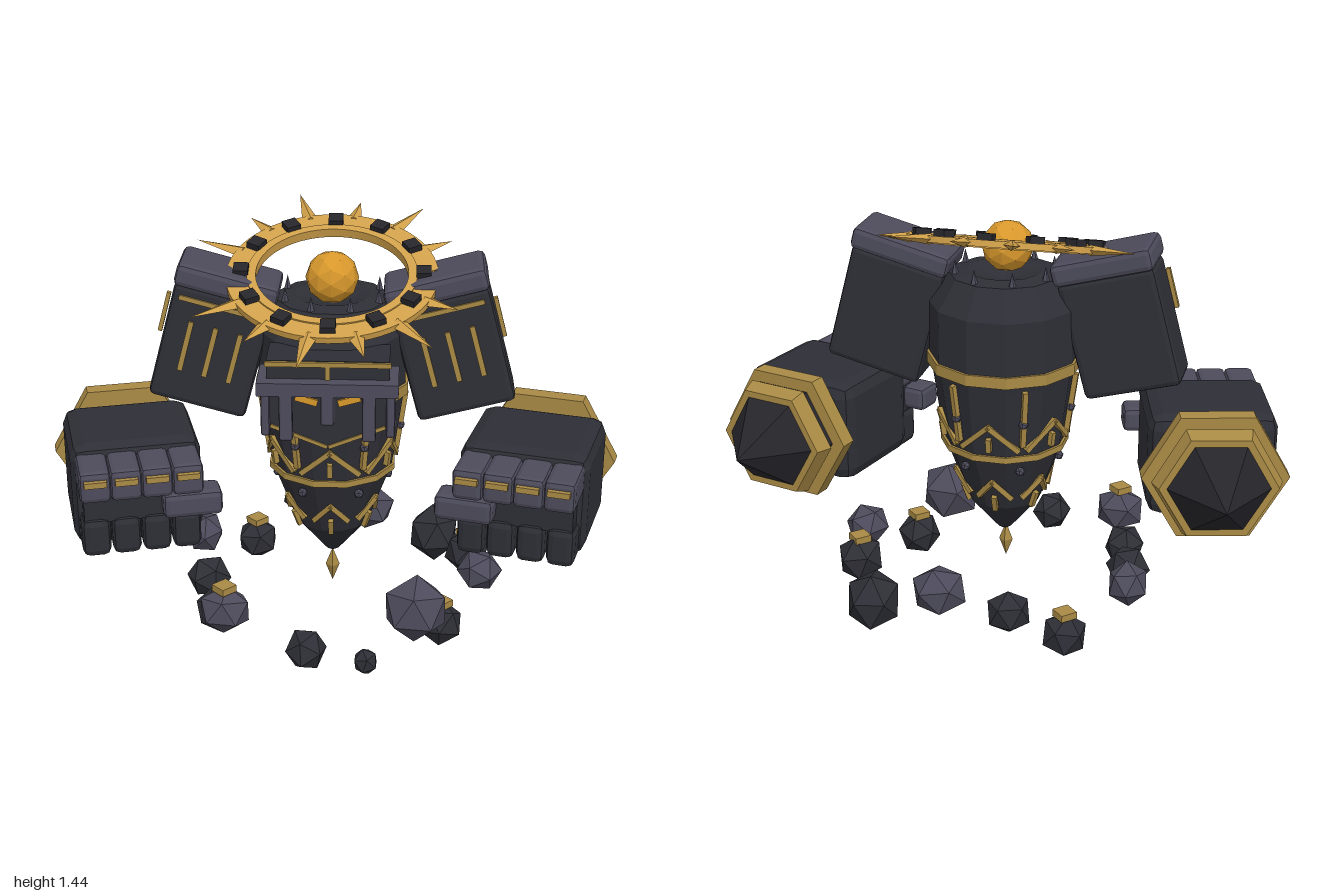
import * as THREE from 'three';
import { RoundedBoxGeometry } from 'three/addons/geometries/RoundedBoxGeometry.js';

const paint = (name, color) => Object.assign(new THREE.MeshStandardMaterial({ color }), { name });
const dark = paint('darkStone', 0x2e2f36);
const black = paint('blackStone', 0x26252a);
const grey = paint('greyStone', 0x4d4b5b);
const trim = paint('oldGold', 0xa98a45);
const gold = paint('haloGold', 0xd0a04a);
const amber = paint('amber', 0xd8982c);

// Faceted mesh helper
function add(parent, name, geo, mat, pos = [0, 0, 0], rot = [0, 0, 0]) {
  const g = geo.index ? geo.toNonIndexed() : geo;
  g.computeVertexNormals();
  const m = new THREE.Mesh(g, mat);
  m.name = name;
  m.position.set(...pos);
  m.rotation.set(...rot);
  parent.add(m);
  return m;
}
function group(parent, name, pos = [0, 0, 0], rot = [0, 0, 0]) {
  const g = new THREE.Group();
  g.name = name;
  g.position.set(...pos);
  g.rotation.set(...rot);
  parent.add(g);
  return g;
}
const box = (w, h, d) => new THREE.BoxGeometry(w, h, d);
const chamfer = (w, h, d, r) => new RoundedBoxGeometry(w, h, d, 1, r);

// Body profile: radius and height
const profile = [[0, 0.26], [0.025, 0.275], [0.13, 0.4], [0.215, 0.63], [0.25, 0.88],
  [0.26, 0.94], [0.26, 1.13], [0.19, 1.23], [0.13, 1.24], [0, 1.2]];
function radiusAt(y) {
  for (let i = 1; i < profile.length; i++) {
    const [r0, y0] = profile[i - 1], [r1, y1] = profile[i];
    if (y <= y1) return r0 + (r1 - r0) * (y - y0) / (y1 - y0);
  }
  return 0;
}
const onBody = (a, y) => {
  const r = radiusAt(y) + 0.002;
  return new THREE.Vector3(Math.sin(a) * r, y, Math.cos(a) * r);
};
// Gold bar lying on the body between two angle/height points
function inlay(parent, a0, y0, a1, y1) {
  const p = onBody(a0, y0), q = onBody(a1, y1);
  const m = add(parent, 'inlay', box(0.018, 0.018, p.distanceTo(q) + 0.01), trim);
  m.position.copy(p).add(q).multiplyScalar(0.5);
  m.lookAt(q);
}

function buildBody(root) {
  const body = group(root, 'body');
  const pts = profile.map(p => new THREE.Vector2(...p));
  add(body, 'torso', new THREE.LatheGeometry(pts, 12, Math.PI / 12), dark);
  for (const [y, h] of [[0.625, 0.022], [0.925, 0.04]]) {
    const r = radiusAt(y) + 0.012;
    add(body, 'band', new THREE.CylinderGeometry(r, r, h, 12, 1, false, Math.PI / 12), trim, [0, y, 0]);
  }
  for (let i = 0; i < 6; i++) {
    const a = i * Math.PI / 3;
    for (const s of [-1, 1]) {
      inlay(body, a, 0.75, a + s * 0.45, 0.66);
      inlay(body, a, 0.52, a + s * 0.38, 0.45);
      add(body, 'stud', new THREE.IcosahedronGeometry(0.018, 0), grey,
        onBody(a + s * 0.52, s > 0 ? 0.76 : 0.57).toArray());
    }
    inlay(body, a, 0.66, a, 0.7);
    inlay(body, a, 0.4, a, 0.45);
    inlay(body, a + Math.PI / 6, 0.68, a + Math.PI / 6, 0.88);
  }
  for (let i = 0; i < 8; i++) {
    const a = (i + 0.5) * Math.PI / 4;
    add(body, 'crownSpike', new THREE.ConeGeometry(0.037, 0.14, 5), grey,
      [Math.sin(a) * 0.17, 1.21, Math.cos(a) * 0.17]);
  }
  const drop = new THREE.OctahedronGeometry(1, 0).scale(0.025, 0.065, 0.025);
  add(body, 'tipCrystal', drop, trim, [0, 0.21, 0.015]);
}

function buildFace(root) {
  const face = group(root, 'face');
  const shape = new THREE.Shape([[-0.2, 0.9], [0, 0.82], [0.2, 0.9], [0.2, 1.13], [-0.2, 1.13]]
    .map(p => new THREE.Vector2(...p)));
  add(face, 'mask', new THREE.ExtrudeGeometry(shape, { depth: 0.16, bevelEnabled: false }), dark, [0, 0, 0.19]);
  add(face, 'foreheadTrim', box(0.41, 0.016, 0.012), trim, [0, 1.12, 0.355]);
  add(face, 'foreheadMark', box(0.016, 0.06, 0.012), trim, [0, 1.09, 0.355]);
  add(face, 'brow', box(0.46, 0.045, 0.17), grey, [0, 1.045, 0.31]);
  add(face, 'nose', chamfer(0.045, 0.13, 0.05, 0.01), grey, [0, 0.985, 0.37]);
  for (const s of [-1, 1]) {
    add(face, 'cheekPillar', chamfer(0.045, 0.18, 0.04, 0.008), grey, [s * 0.135, 0.955, 0.375]);
    add(face, 'templePlate', chamfer(0.03, 0.19, 0.14, 0.01), grey, [s * 0.205, 0.96, 0.29]);
    add(face, 'eye', box(0.075, 0.022, 0.009), amber, [s * 0.07, 0.995, 0.354], [0, 0, s * 0.28]);
    add(face, 'jawTrim', box(0.2, 0.012, 0.009), trim, [s * 0.095, 0.865, 0.352], [0, 0, s * 0.381]);
  }
}

function buildHalo(root) {
  const halo = group(root, 'halo', [0, 1.315, 0.045], [0.29, 0, 0]);
  const disc = (r, hole, d) => {
    const s = new THREE.Shape().absarc(0, 0, r, 0, Math.PI * 2);
    s.holes.push(new THREE.Path().absarc(0, 0, hole, 0, Math.PI * 2, true));
    return new THREE.ExtrudeGeometry(s, { depth: d, bevelEnabled: false, curveSegments: 32 })
      .translate(0, 0, -d / 2).rotateX(Math.PI / 2);
  };
  add(halo, 'ring', disc(0.355, 0.265, 0.022), gold);
  add(halo, 'innerRim', disc(0.285, 0.255, 0.032), gold);
  for (let i = 0; i < 12; i++) {
    const arm = group(halo, 'ringBlock', [0, 0, 0], [0, i * Math.PI / 6, 0]);
    add(arm, 'block', box(0.05, 0.03, 0.05), black, [0, 0.018, 0.305]);
  }
  for (let i = 0; i < 14; i++) {
    const len = i % 2 ? 0.18 : 0.12;
    const arm = group(halo, 'ringSpike', [0, 0, 0], [0, (i + 0.6) * Math.PI / 7, 0]);
    add(arm, 'spike', new THREE.ConeGeometry(0.03, len, 4).rotateX(Math.PI / 2).scale(1, 0.6, 1),
      gold, [0, 0, 0.335 + len / 2]);
  }
  add(root, 'orb', new THREE.IcosahedronGeometry(0.09, 1), amber, [0, 1.31, 0.04]);
}

function buildShoulder(root, s) {
  const g = group(root, s > 0 ? 'leftShoulder' : 'rightShoulder', [s * 0.41, 1.06, 0.018], [0, 0, s * 0.262]);
  add(g, 'pauldron', chamfer(0.34, 0.42, 0.185, 0.02), dark);
  add(g, 'cap', chamfer(0.35, 0.08, 0.225, 0.02), grey, [0, 0.242, 0]);
  add(g, 'topTrim', box(0.29, 0.016, 0.012), trim, [0, 0.165, 0.094]);
  for (const x of [-0.085, 0, 0.085]) {
    add(g, 'frontStripe', box(0.018, 0.18, 0.014), trim, [x, 0, 0.094]);
  }
  add(g, 'sideStripe', box(0.014, 0.14, 0.02), trim, [s * 0.182, 0.09, 0.06]);
}

function buildFist(root, s) {
  const g = group(root, s > 0 ? 'leftFist' : 'rightFist', [s * 0.69, 0.615, 0.13], [0, -s * 0.266, 0]);
  add(g, 'gauntlet', chamfer(0.44, 0.37, 0.4, 0.05), dark, [0, 0, -0.02]);
  // Hexagonal wrist bands and elbow point, along the arm
  const hex = (front, back, len) => new THREE.CylinderGeometry(front, back, len, 6).rotateY(Math.PI / 6).rotateX(Math.PI / 2);
  add(g, 'wideBand', hex(0.25, 0.25, 0.06), trim, [0, 0, -0.26]);
  add(g, 'forearm', hex(0.21, 0.19, 0.1), black, [0, 0, -0.3]);
  add(g, 'narrowBand', hex(0.22, 0.2, 0.055), trim, [0, 0, -0.35]);
  add(g, 'elbowPoint', hex(0.18, 0, 0.2), black, [0, 0, -0.47]);
  // Knuckles with gold tips, curled fingers and thumb
  add(g, 'palm', box(0.38, 0.12, 0.1), dark, [0, 0, 0.19]);
  for (let i = 0; i < 4; i++) {
    const x = (i - 1.5) * 0.102;
    add(g, 'knuckle', chamfer(0.104, 0.11, 0.2, 0.018), grey, [x, 0.105, 0.225]);
    add(g, 'knuckleTrim', box(0.075, 0.02, 0.025), trim, [x, 0.125, 0.33]);
    add(g, 'finger', chamfer(0.096, 0.14, 0.13, 0.025), dark, [x, -0.115, 0.19]);
  }
  add(g, 'thumb', chamfer(0.2, 0.09, 0.11, 0.02), grey, [-s * 0.17, 0, 0.25]);
}

// Floating rocks: x, y, z, radius, colour, gold cap
const rocks = [
  [-0.31, 0.09, -0.4, 0.085, dark, 1], [-0.145, 0.22, -0.52, 0.075, dark, 0],
  [0.12, 0.22, -0.435, 0.095, grey, 0], [0.37, 0.13, -0.4, 0.11, dark, 0],
  [-0.49, 0.21, -0.21, 0.08, grey, 0], [0.49, 0.17, -0.18, 0.085, dark, 1],
  [-0.355, 0.21, 0.36, 0.09, grey, 1], [-0.4, 0.13, 0.22, 0.08, dark, 0],
  [-0.07, 0.12, 0.46, 0.08, dark, 0], [0.135, 0.13, 0.545, 0.047, dark, 0],
  [0.3, 0.22, 0.34, 0.115, grey, 0], [0.39, 0.09, 0.21, 0.085, dark, 1],
  [0.53, 0.2, 0.02, 0.08, grey, 0], [-0.45, 0.15, 0.02, 0.08, dark, 0],
];
function buildRocks(root) {
  const g = group(root, 'rocks');
  let seed = 7;
  const rnd = () => (seed = (seed * 16807) % 2147483647) / 2147483647;
  for (const [x, y, z, r, mat, capped] of rocks) {
    const geo = new THREE.IcosahedronGeometry(r, 0).rotateX(rnd() * 3).rotateZ(rnd() * 3)
      .scale(0.9 + rnd() * 0.2, 0.9 + rnd() * 0.15, 0.9 + rnd() * 0.2);
    add(g, 'rock', geo, mat, [x, y, z]);
    if (capped) add(g, 'rockCap', box(0.06, 0.025, 0.06), trim, [x, y + r * 0.93, z], [0, 0.78, 0]);
  }
}

export function createModel() {
  const root = new THREE.Group();
  root.name = 'stoneGuardian';
  buildBody(root);
  buildFace(root);
  buildHalo(root);
  for (const s of [-1, 1]) {
    buildShoulder(root, s);
    buildFist(root, s);
  }
  buildRocks(root);
  return root;
}
